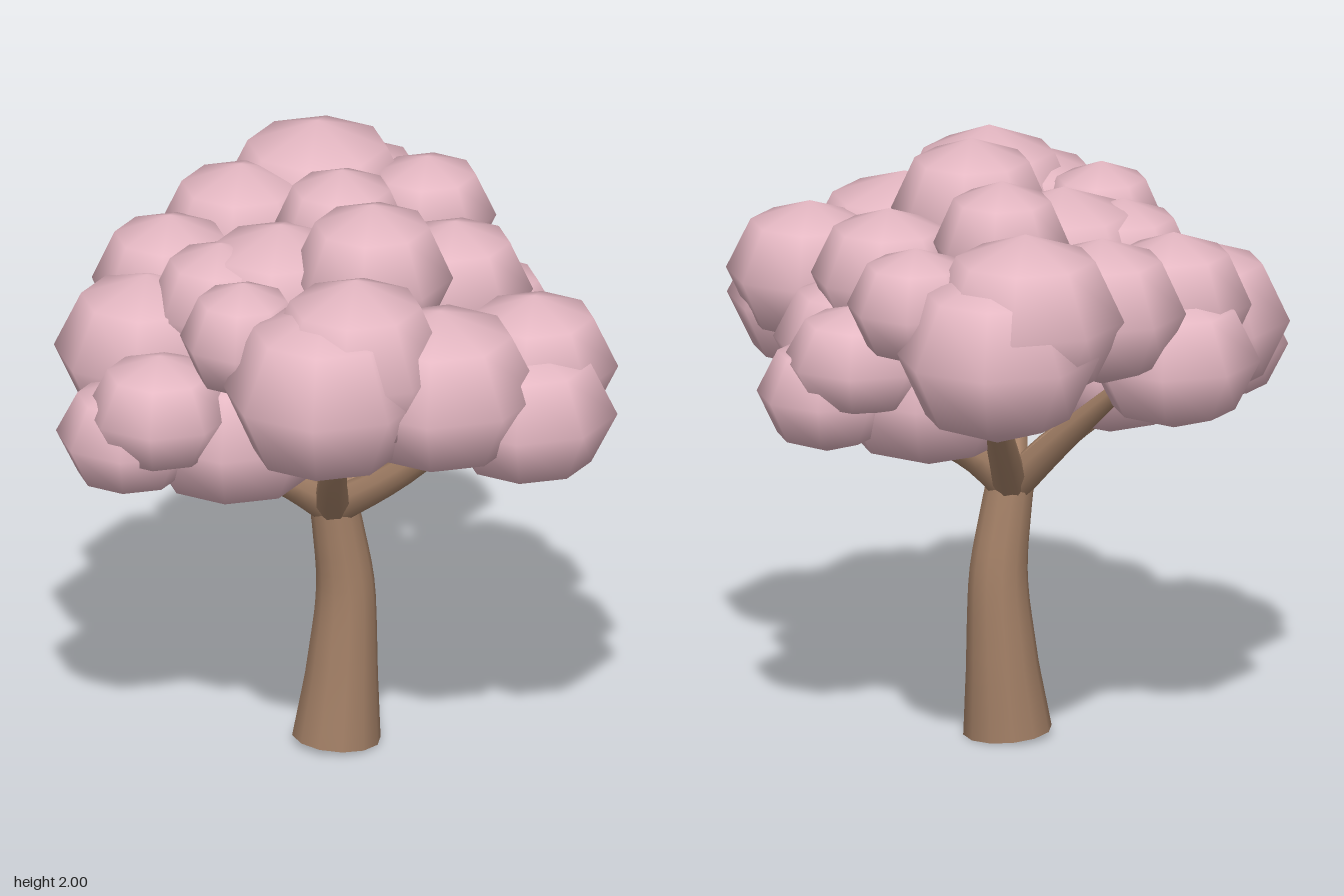
import * as THREE from 'three';

// Tapered limb swept along a curve; radii are spread evenly along its length
function limb(points, radii, sides, steps) {
  const curve = new THREE.CatmullRomCurve3(points.map(p => new THREE.Vector3(...p)));
  const geo = new THREE.TubeGeometry(curve, steps, 1, sides, false);
  const pos = geo.attributes.position;
  const v = new THREE.Vector3();
  for (let i = 0; i <= steps; i++) {
    const c = curve.getPointAt(i / steps);
    const t = (i / steps) * (radii.length - 1);
    const k = Math.min(Math.floor(t), radii.length - 2);
    const r = THREE.MathUtils.lerp(radii[k], radii[k + 1], t - k);
    for (let j = 0; j <= sides; j++) {
      const n = i * (sides + 1) + j;
      v.fromBufferAttribute(pos, n).sub(c).multiplyScalar(r).add(c);
      pos.setXYZ(n, v.x, v.y, v.z);
    }
  }
  return geo;
}

export function createModel() {
  const bark = new THREE.MeshStandardMaterial({ color: 0xa78369 });
  bark.name = 'bark';
  const blossom = new THREE.MeshStandardMaterial({ color: 0xe5b8c3 });
  blossom.name = 'blossom';

  const tree = new THREE.Group();
  tree.name = 'tree';
  const add = (parent, name, geo, mat) => {
    const mesh = new THREE.Mesh(geo, mat);
    mesh.name = name;
    parent.add(mesh);
    return mesh;
  };

  // Curved trunk
  const base = [0.055, 0.008, -0.05];
  add(tree, 'trunk', limb(
    [base, [0.076, 0.28, -0.045], [0.085, 0.55, -0.04], [0.06, 0.75, -0.045], [0.035, 0.9, -0.05]],
    [0.148, 0.122, 0.104, 0.09, 0.078], 12, 16), bark);

  // Underside of the trunk, tilted like its first ring
  const cap = add(tree, 'trunkBase', new THREE.CircleGeometry(0.147, 12).rotateX(Math.PI / 2), bark);
  cap.position.set(...base);
  cap.rotation.z = -0.06;

  // Branches fan out from the fork: middle point, then tip
  const branches = new THREE.Group();
  branches.name = 'branches';
  tree.add(branches);
  [
    [[-0.13, 1.06, 0.17], [-0.27, 1.38, 0.4]],
    [[0.1, 1.02, 0.2], [0.2, 1.3, 0.52]],
    [[0.22, 1.06, -0.23], [0.5, 1.45, -0.48]],
    [[0.0, 1.04, -0.26], [-0.05, 1.3, -0.56]],
    [[-0.15, 0.98, -0.07], [-0.4, 1.1, -0.12]],
    [[0.2, 0.98, -0.03], [0.44, 1.1, 0.0]],
  ].forEach(([mid, tip]) => add(branches, 'branch',
    limb([[0.04, 0.84, -0.05], mid, tip], [0.062, 0.048, 0.028], 8, 8), bark));

  // Canopy of squashed eight-sided balls: x, y, z, width radius, height radius
  const ball = new THREE.SphereGeometry(1, 8, 4);
  const canopy = new THREE.Group();
  canopy.name = 'canopy';
  tree.add(canopy);
  const clumps = {
    backRight: [
      [0.44, 1.63, -0.65, 0.33, 0.29], [0.55, 1.52, -0.64, 0.34, 0.3], [0.66, 1.64, -0.34, 0.23, 0.2],
    ],
    back: [
      [0.12, 1.6, -0.65, 0.28, 0.25], [-0.24, 1.55, -0.57, 0.26, 0.24], [-0.17, 1.39, -0.66, 0.29, 0.24],
      [-0.46, 1.42, -0.41, 0.31, 0.27],
    ],
    frontLeft: [
      [-0.26, 1.62, 0.46, 0.31, 0.3], [-0.37, 1.54, 0.44, 0.34, 0.31],
    ],
    front: [
      [0, 1.5, 0.58, 0.34, 0.28], [0.38, 1.5, 0.6, 0.28, 0.24], [0.29, 1.38, 0.68, 0.3, 0.25],
    ],
    top: [
      [0.05, 1.75, 0.15, 0.27, 0.25], [0.2, 1.74, -0.21, 0.23, 0.22], [-0.11, 1.58, -0.14, 0.32, 0.29],
      [-0.29, 1.6, -0.23, 0.24, 0.22], [0.42, 1.6, 0.12, 0.26, 0.23], [-0.46, 1.64, 0.11, 0.21, 0.2],
    ],
    left: [
      [-0.655, 1.36, -0.09, 0.245, 0.2], [-0.695, 1.25, -0.2, 0.245, 0.2], [-0.35, 1.24, -0.08, 0.34, 0.27],
    ],
    right: [
      [0.65, 1.38, -0.02, 0.255, 0.19], [0.7, 1.25, 0.09, 0.235, 0.2], [0.46, 1.36, 0.24, 0.28, 0.23],
      [0.36, 1.24, -0.02, 0.34, 0.27],
    ],
  };
  for (const [name, balls] of Object.entries(clumps)) {
    const clump = new THREE.Group();
    clump.name = name + 'Clump';
    canopy.add(clump);
    balls.forEach(([x, y, z, r, h]) => {
      const mesh = add(clump, 'leafBall', ball, blossom);
      mesh.position.set(x, y, z);
      mesh.scale.set(r, h, r);
    });
  }
  return tree;
}
